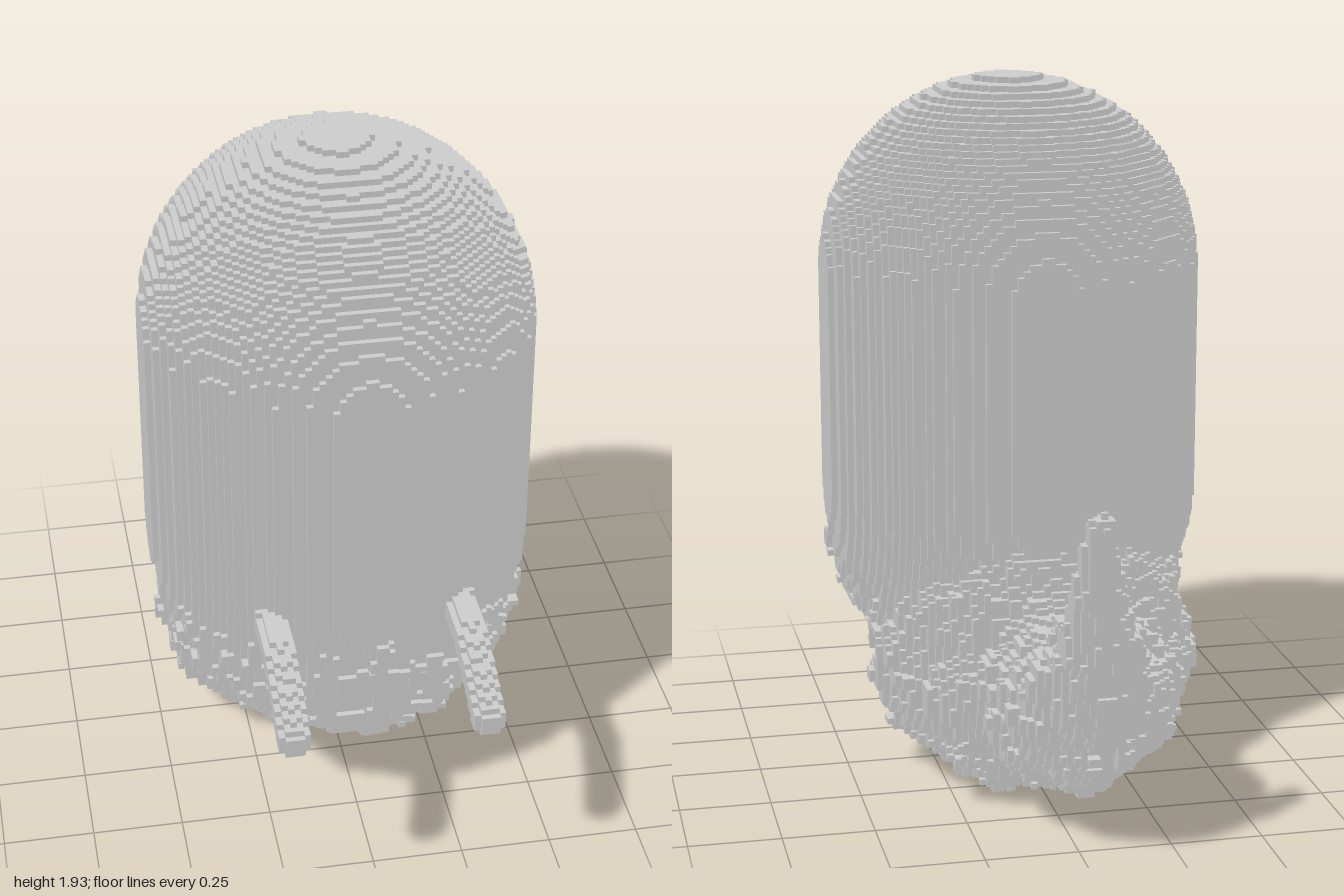
import * as THREE from 'three';

// Cube grid: cell counts and cell size
const NX = 70, NY = 120, NZ = 122, V = 2 / NZ;
const EMPTY = 0, BODY = 1, BASE = 2, LEFT_ARM = 3, RIGHT_ARM = 4;
const NAMES = { [BODY]: 'capsuleBody', [BASE]: 'shaggyBaseAndTail', [LEFT_ARM]: 'leftArm', [RIGHT_ARM]: 'rightArm' };

// Capsule: radius, end centres and depth
const CAPSULE = { radius: 32 * V, low: 47 * V, high: 86 * V, z: 70 * V - 1 };

// Paths of [x, y, z, radius]
const SHAGGY_PATHS = [
  // belly running back into the upturned tail
  [
    [0, 0.64, 0.147, 0.51], [-0.02, 0.45, -0.05, 0.41], [-0.03, 0.33, -0.27, 0.29],
    [-0.03, 0.32, -0.50, 0.23], [-0.02, 0.36, -0.65, 0.185], [-0.02, 0.46, -0.78, 0.15],
    [-0.01, 0.60, -0.865, 0.105], [0, 0.75, -0.925, 0.065], [0, 0.88, -0.95, 0.04], [0, 0.94, -0.955, 0.03],
  ],
  // lobes that flatten the underside
  [[-0.18, 0.32, -0.06, 0.29], [-0.11, 0.28, -0.26, 0.25]],
  [[0.13, 0.32, -0.06, 0.29], [0.07, 0.28, -0.26, 0.25]],
  // tuft on the right of the tail
  [[-0.12, 0.36, -0.48, 0.18], [-0.12, 0.40, -0.66, 0.16]],
];
const ARM = [[0.254, 0.755, 0.58, 0.042], [0.254, 0.738, 0.76, 0.042], [0.254, 0.69, 0.88, 0.042], [0.254, 0.65, 0.96, 0.042]];

// Signed distance to a tapering round path
function pathDistance(path, x, y, z) {
  let best = Infinity;
  for (let i = 0; i + 1 < path.length; i++) {
    const [ax, ay, az, ar] = path[i], [bx, by, bz, br] = path[i + 1];
    const dx = bx - ax, dy = by - ay, dz = bz - az;
    let t = ((x - ax) * dx + (y - ay) * dy + (z - az) * dz) / (dx * dx + dy * dy + dz * dz);
    t = Math.min(1, Math.max(0, t));
    best = Math.min(best, Math.hypot(x - ax - t * dx, y - ay - t * dy, z - az - t * dz) - (ar + t * (br - ar)));
  }
  return best;
}

// Repeatable value in -1..1 for a block of cells
function hash(i, j, k) {
  let h = Math.imul(i + 11, 374761393) ^ Math.imul(j + 57, 668265263) ^ Math.imul(k + 91, 2147483647);
  h = Math.imul(h ^ (h >>> 13), 1274126177);
  return ((h ^ (h >>> 16)) >>> 0) / 2147483648 - 1;
}
const shag = (i, j, k) =>
  0.014 * hash(Math.floor(i / 3), Math.floor(j / 3), Math.floor(k / 3)) +
  0.014 * hash(Math.floor(i / 5) + 40, Math.floor(j / 5), Math.floor(k / 5));

// Which part fills a cell
function partAt(i, j, k) {
  const x = (i + 0.5 - NX / 2) * V, y = (j + 0.5) * V, z = (k + 0.5) * V - 1;
  const cy = Math.min(CAPSULE.high, Math.max(CAPSULE.low, y));
  if (Math.hypot(x, y - cy, z - CAPSULE.z) < CAPSULE.radius) return BODY;
  if (z > 0.5 && pathDistance(ARM, Math.abs(x), y, z) < 0) return x > 0 ? LEFT_ARM : RIGHT_ARM;
  if (y > 1 || (z > -0.36 && y > 0.68 + 2.5 * shag(i, 0, k))) return EMPTY;
  const d = Math.min(...SHAGGY_PATHS.map((path) => pathDistance(path, x, y, z)));
  const roughness = z < -0.85 ? 0.4 : 1;
  return d < roughness * shag(i, j, k) ? BASE : EMPTY;
}

export function createModel() {
  const group = new THREE.Group();
  const cells = new Uint8Array(NX * NY * NZ);
  const index = (i, j, k) => (k * NY + j) * NX + i;
  for (let k = 0; k < NZ; k++)
    for (let j = 0; j < NY; j++)
      for (let i = 0; i < NX; i++) cells[index(i, j, k)] = partAt(i, j, k);
  const get = (c) =>
    c[0] < 0 || c[1] < 0 || c[2] < 0 || c[0] >= NX || c[1] >= NY || c[2] >= NZ ? EMPTY : cells[index(...c)];

  // Collect only the exposed cube faces of each part
  const parts = {};
  for (const id in NAMES) parts[id] = { position: [], normal: [], index: [] };
  const addFace = (part, c, axis, sign) => {
    const u = (axis + 1) % 3, v = (axis + 2) % 3, n = part.position.length / 3;
    for (const [a, b] of [[0, 0], [1, 0], [1, 1], [0, 1]]) {
      const p = [...c], normal = [0, 0, 0];
      p[axis] += sign > 0 ? 1 : 0;
      p[u] += a;
      p[v] += b;
      normal[axis] = sign;
      part.position.push((p[0] - NX / 2) * V, p[1] * V, p[2] * V - 1);
      part.normal.push(...normal);
    }
    if (sign > 0) part.index.push(n, n + 1, n + 2, n, n + 2, n + 3);
    else part.index.push(n, n + 2, n + 1, n, n + 3, n + 2);
  };
  for (let k = 0; k < NZ; k++)
    for (let j = 0; j < NY; j++)
      for (let i = 0; i < NX; i++) {
        const c = [i, j, k], id = get(c);
        if (id === EMPTY) continue;
        for (let axis = 0; axis < 3; axis++)
          for (const sign of [-1, 1]) {
            const next = [...c];
            next[axis] += sign;
            if (get(next) === EMPTY) addFace(parts[id], c, axis, sign);
          }
      }

  // One mesh per part
  const material = new THREE.MeshStandardMaterial({ color: 0xcccccc });
  for (const id in NAMES) {
    const geometry = new THREE.BufferGeometry();
    geometry.setAttribute('position', new THREE.Float32BufferAttribute(parts[id].position, 3));
    geometry.setAttribute('normal', new THREE.Float32BufferAttribute(parts[id].normal, 3));
    geometry.setIndex(parts[id].index);
    const mesh = new THREE.Mesh(geometry, material);
    mesh.name = NAMES[id];
    group.add(mesh);
  }
  return group;
}
